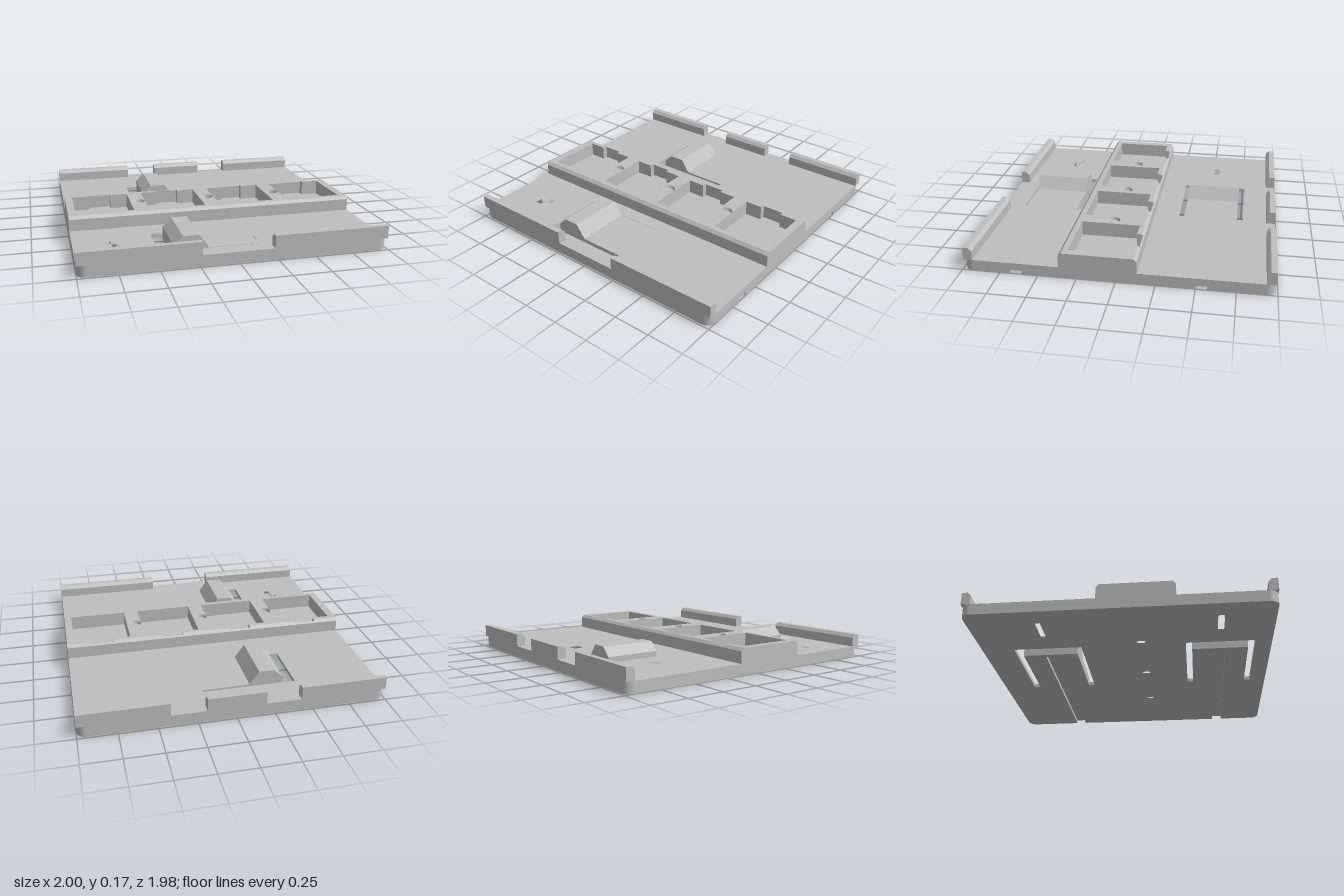
import * as THREE from 'three';

const H = 0.988;            // half depth of the plate
const T = 0.075;            // plate thickness
const R0 = -0.135, R1 = 0.365, RTOP = 0.175, CH = 0.02; // ridge back, front, top, chamfer
const GROOVE_H = 0.025, GROOVE_W = 0.037;
const LATCHES = [-0.533, 0.643];
const CUT = { x0: -0.485, x1: 0.17, hz: 0.2325 };
const ARM = { x0: -0.385, hz: 0.19, top: 0.06 };
const POCKETS = [-0.75, -0.25, 0.25, 0.75];
const SCREWS = [-0.5, 0, 0.5];
const SCREW_Z = 0.11;

const v = ([x, z]) => new THREE.Vector2(x, -z);
const rect = (x0, x1, z0, z1) => [[x0, z0], [x1, z0], [x1, z1], [x0, z1]];
const circle = (cx, cz, r) => Array.from({ length: 32 }, (_, i) => {
  const a = (i / 32) * Math.PI * 2;
  return [cx + r * Math.cos(a), cz + r * Math.sin(a)];
});

// Slab from a plan outline in x, z, between two heights
function slab(outline, holes, y0, y1) {
  const shape = new THREE.Shape(outline.map(v));
  shape.holes = holes.map((h) => new THREE.Path(h.map(v)));
  return new THREE.ExtrudeGeometry(shape, { depth: y1 - y0, bevelEnabled: false })
    .rotateX(-Math.PI / 2).translate(0, y0, 0);
}

// Bar with a z, y profile running along x
function barX(profile, x0, x1) {
  const shape = new THREE.Shape(profile.map(([z, y]) => new THREE.Vector2(-z, y)));
  return new THREE.ExtrudeGeometry(shape, { depth: x1 - x0, bevelEnabled: false })
    .rotateY(Math.PI / 2).translate(x0, 0, 0);
}

// Plate outline with rounded corners, ending at the back of the +x edge
function roundedOutline(r) {
  const pts = [];
  [[1, 1], [-1, 1], [-1, -1], [1, -1]].forEach(([sx, sz], q) => {
    for (let i = 0; i <= 8; i++) {
      const a = (q + i / 8) * Math.PI / 2;
      pts.push([sx * (1 - r) + r * Math.cos(a), sz * (H - r) + r * Math.sin(a)]);
    }
  });
  return pts;
}

export function createModel() {
  const group = new THREE.Group();
  const grey = new THREE.MeshStandardMaterial({ color: 0xbfbfbf });
  grey.name = 'grey plastic';
  const add = (name, geometry, parent = group) => {
    const mesh = new THREE.Mesh(geometry, grey);
    mesh.name = name;
    parent.add(mesh);
  };

  // Base plate: through marks and screw holes, grooves open at the +x edge below
  const px = -0.732, pz = LATCHES[1], a = 0.022, b = 0.117;
  const plus = [[-a, -b], [a, -b], [a, -a], [b, -a], [b, a], [a, a], [a, b], [-a, b],
    [-a, a], [-b, a], [-b, -a], [-a, -a]].map(([x, z]) => [px + x, pz + z]);
  const minus = rect(px - b, px + b, LATCHES[0] - a, LATCHES[0] + a);
  const through = [plus, minus, ...SCREWS.map((x) => circle(x, SCREW_Z, 0.042))];
  const lower = roundedOutline(0.06);
  for (const z of LATCHES) {
    lower.push([1, z - GROOVE_W], [CUT.x1, z - GROOVE_W], [CUT.x1, z - CUT.hz], [CUT.x0, z - CUT.hz],
      [CUT.x0, z + CUT.hz], [CUT.x1, z + CUT.hz], [CUT.x1, z + GROOVE_W], [1, z + GROOVE_W]);
  }
  const cutouts = LATCHES.map((z) => rect(CUT.x0, CUT.x1, z - CUT.hz, z + CUT.hz));
  add('lowerPlate', slab(lower, through, 0, GROOVE_H));
  add('upperPlate', slab(roundedOutline(0.06), [...through, ...cutouts], GROOVE_H, T));

  // Spring latches: grooved arm with a sloped catch at its free end
  for (const z of LATCHES) {
    const latch = new THREE.Group();
    latch.name = 'latch';
    const grooveEnd = -0.35;
    add('armUnderside', slab([[ARM.x0, z - ARM.hz], [CUT.x1, z - ARM.hz], [CUT.x1, z - GROOVE_W],
      [grooveEnd, z - GROOVE_W], [grooveEnd, z + GROOVE_W], [CUT.x1, z + GROOVE_W],
      [CUT.x1, z + ARM.hz], [ARM.x0, z + ARM.hz]], [], 0, GROOVE_H), latch);
    add('arm', slab(rect(ARM.x0, CUT.x1, z - ARM.hz, z + ARM.hz), [], GROOVE_H, ARM.top), latch);
    const profile = [[ARM.x0, ARM.top], [-0.155, ARM.top], [-0.22, 0.15], [-0.325, 0.15], [ARM.x0, 0.09]];
    const shape = new THREE.Shape(profile.map(([x, y]) => new THREE.Vector2(x, y)));
    add('catch', new THREE.ExtrudeGeometry(shape, { depth: ARM.hz * 2, bevelEnabled: false })
      .translate(0, 0, z - ARM.hz), latch);
    group.add(latch);
  }

  // Edge walls, chamfered on the inside
  const wall = (s) => [[s * H, T], [s * H, 0.16], [s * 0.95, 0.16], [s * 0.928, 0.138], [s * 0.928, T]];
  for (const [x0, x1] of [[-1, -0.235], [0.23, 1]]) add('frontWall', barX(wall(1), x0, x1));
  for (const [x0, x1] of [[-1, -0.425], [-0.195, 0.19], [0.42, 1]]) add('backWall', barX(wall(-1), x0, x1));

  // Ridge with four notched pockets
  const pw = 0.1975, pz0 = -0.085, pz1 = 0.31, nw = 0.077, nz = -0.125, yc = RTOP - CH;
  const pocket = (x) => [[x - nw, nz], [x - nw, pz0], [x - pw, pz0], [x - pw, pz1],
    [x + pw, pz1], [x + pw, pz0], [x + nw, pz0], [x + nw, nz]];
  add('ridge', slab(rect(-1, 1, R0, R1),
    [...POCKETS.map(pocket), ...SCREWS.map((x) => circle(x, SCREW_Z, 0.042))], T, yc));
  const topOutline = [[-1, R0 + CH]];
  for (const x of POCKETS) {
    topOutline.push(...pocket(x).map(([px2, z]) => [px2, Math.max(z, R0 + CH)]));
  }
  topOutline.push([1, R0 + CH], [1, R1 - CH], [-1, R1 - CH]);
  add('ridgeTop', slab(topOutline, SCREWS.map((x) => circle(x, SCREW_Z, 0.051)), yc, RTOP));

  // Ridge chamfers, the back one thinned at each notch
  add('frontChamfer', barX([[R1, yc], [R1 - CH, RTOP], [R1 - CH, yc]], -1, 1));
  let from = -1;
  for (const x of [...POCKETS, null]) {
    const to = x === null ? 1 : x - nw;
    add('backChamfer', barX([[R0, yc], [R0 + CH, yc], [R0 + CH, RTOP]], from, to));
    if (x === null) break;
    add('notchLip', barX([[R0, yc], [nz, yc], [nz, yc + nz - R0]], to, x + nw));
    from = x + nw;
  }

  // Countersinks and screw hole linings
  for (const x of SCREWS) {
    const cone = new THREE.CylinderGeometry(0.051, 0.042, CH, 32, 1, true);
    cone.index.array.reverse();
    for (let i = 0; i < cone.attributes.normal.array.length; i++) cone.attributes.normal.array[i] *= -1;
    add('countersink', cone.translate(x, yc + CH / 2, SCREW_Z));
  }
  return group;
}
